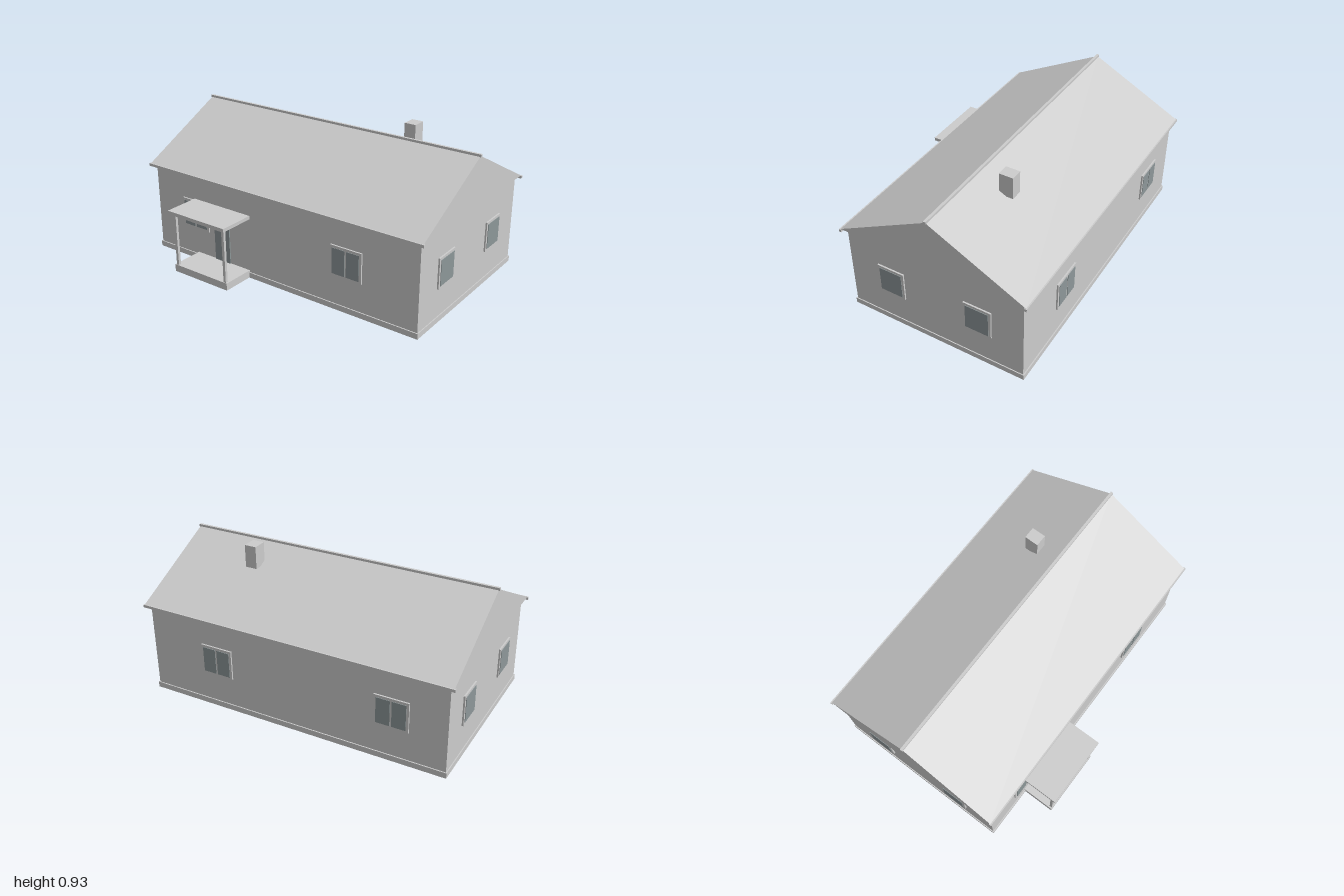
import * as THREE from 'three';

export function createModel() {
  const house = new THREE.Group();
  house.name = 'house';

  const plaster = new THREE.MeshStandardMaterial({ color: 0xcccccc });
  plaster.name = 'light grey';
  const glass = new THREE.MeshStandardMaterial({ color: 0x8d9799 });
  glass.name = 'blue grey glass';

  // Box given by its extents on each axis
  function box(name, [x0, x1], [y0, y1], [z0, z1], material = plaster, parent = house) {
    const mesh = new THREE.Mesh(new THREE.BoxGeometry(x1 - x0, y1 - y0, z1 - z0), material);
    mesh.position.set((x0 + x1) / 2, (y0 + y1) / 2, (z0 + z1) / 2);
    mesh.name = name;
    parent.add(mesh);
    return mesh;
  }

  // Body of the house
  box('plinth', [-0.973, 0.973], [0, 0.035], [-0.673, 0.476]);
  box('walls', [-0.967, 0.967], [0.035, 0.58], [-0.666, 0.469]);

  // Solid gable roof, profile drawn in (-z, y) and extruded along x
  const ridgeZ = -0.098;
  const profile = new THREE.Shape();
  profile.moveTo(-0.495, 0.582);
  profile.lineTo(0.691, 0.582);
  profile.lineTo(-ridgeZ, 0.885);
  profile.closePath();
  const roofGeometry = new THREE.ExtrudeGeometry(profile, { depth: 1.988, bevelEnabled: false });
  roofGeometry.translate(0, 0, -0.994);
  roofGeometry.rotateY(Math.PI / 2);
  const roof = new THREE.Mesh(roofGeometry, plaster);
  roof.name = 'roof';
  house.add(roof);

  // Ridge cap, gutters and chimney
  box('ridgeCap', [-1, 1], [0.879, 0.895], [ridgeZ - 0.008, ridgeZ + 0.008]);
  box('frontGutter', [-1, 1], [0.565, 0.582], [0.488, 0.503]);
  box('backGutter', [-1, 1], [0.565, 0.582], [-0.699, -0.684]);
  box('chimney', [0.425, 0.5], [0.79, 0.93], [-0.325, -0.236]);

  // Window facing +z, standing on the wall plane, with evenly split panes
  function addWindow(name, width, panes, x, z, turn) {
    const group = new THREE.Group();
    group.name = name;
    const w = width / 2;
    const border = 0.015;
    const gap = 0.011;
    box('frame', [-w, w], [0.215, 0.405], [-0.005, 0.01], plaster, group);
    const paneWidth = (width - 2 * border - gap * (panes - 1)) / panes;
    for (let i = 0; i < panes; i++) {
      const left = -w + border + i * (paneWidth + gap);
      box('pane', [left, left + paneWidth], [0.23, 0.39], [0.008, 0.013], glass, group);
    }
    group.position.set(x, 0, z);
    group.rotation.y = turn;
    house.add(group);
  }
  for (const x of [-0.638, 0.501]) {
    addWindow('frontWindow', 0.211, 2, x, 0.469, 0);
    addWindow('backWindow', 0.211, 2, x, -0.666, Math.PI);
  }
  for (const z of [0.186, -0.381]) {
    addWindow('leftWindow', 0.176, 1, 0.967, z, Math.PI / 2);
    addWindow('rightWindow', 0.176, 1, -0.967, z, -Math.PI / 2);
  }

  // Door and porch
  box('door', [-0.487, -0.366], [0.047, 0.298], [0.467, 0.476], glass);
  box('porchFloor', [-0.64, -0.213], [0, 0.047], [0.469, 0.68]);
  box('porchRoof', [-0.65, -0.202], [0.392, 0.414], [0.469, 0.7]);
  for (const x of [-0.621, -0.232]) {
    box('porchPost', [x - 0.009, x + 0.009], [0.047, 0.392], [0.659, 0.676]);
  }

  return house;
}
